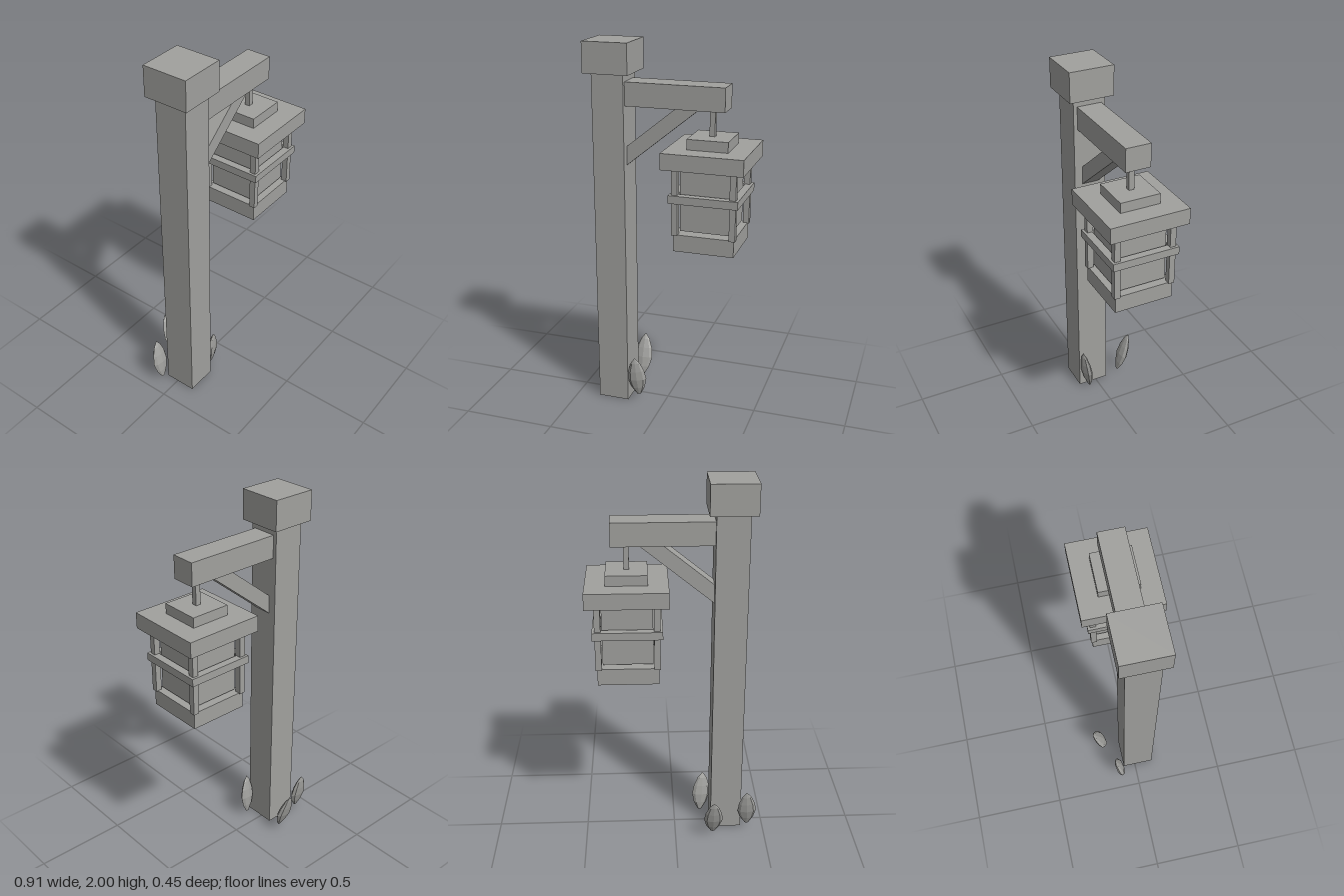
import * as THREE from 'three';

export function createModel() {
  const model = new THREE.Group();
  model.name = 'lanternPost';
  const grey = new THREE.MeshStandardMaterial({ color: 0xa0a09d });
  grey.name = 'stoneGrey';
  grey.flatShading = true;

  const Z = 0.018; // shared centre line of post, arm and lantern

  const add = (parent, name, geometry) => {
    const mesh = new THREE.Mesh(geometry, grey);
    mesh.name = name;
    parent.add(mesh);
    return mesh;
  };
  // Box from its x range, y range and z centre / depth
  const box = (parent, name, x0, x1, y0, y1, z, depth) => {
    const mesh = add(parent, name, new THREE.BoxGeometry(x1 - x0, y1 - y0, depth));
    mesh.position.set((x0 + x1) / 2, (y0 + y1) / 2, z);
    return mesh;
  };

  // Post, cap and arm
  box(model, 'post', -0.374, -0.203, 0, 1.85, Z, 0.175);
  box(model, 'postCap', -0.408, -0.167, 1.84, 2, Z, 0.242);
  box(model, 'arm', -0.22, 0.32, 1.677, 1.8, Z, 0.134);

  // Diagonal brace, its ends sunk into post and arm
  const profile = new THREE.Shape([
    new THREE.Vector2(-0.22, 1.35),
    new THREE.Vector2(0.192, 1.687),
    new THREE.Vector2(0.072, 1.687),
    new THREE.Vector2(-0.22, 1.45),
  ]);
  const brace = add(model, 'brace',
    new THREE.ExtrudeGeometry(profile, { depth: 0.09, bevelEnabled: false }));
  brace.position.z = Z - 0.045;

  // Hanging lantern, built around its own vertical axis
  const lantern = new THREE.Group();
  lantern.name = 'lantern';
  lantern.position.set(0.243, 0, Z);
  model.add(lantern);
  const block = (name, half, y0, y1) => box(lantern, name, -half, half, y0, y1, 0, half * 2);
  block('hangingRod', 0.014, 1.53, 1.685);
  block('roofCap', 0.107, 1.485, 1.542);
  block('roof', 0.212, 1.403, 1.488);
  block('lightBox', 0.131, 1.067, 1.41);
  block('lanternBase', 0.159, 0.963, 1.053);

  // Corner posts
  for (const sx of [-1, 1]) for (const sz of [-1, 1]) {
    const c = 0.151 * sx;
    box(lantern, 'cornerPost', c - 0.016, c + 0.016, 1.05, 1.41, 0.151 * sz, 0.032);
  }

  // Square band around the corner posts
  for (const s of [-1, 1]) {
    box(lantern, 'bandBar', -0.18, 0.18, 1.223, 1.265, 0.16 * s, 0.04);
    box(lantern, 'bandBar', 0.16 * s - 0.02, 0.16 * s + 0.02, 1.223, 1.265, 0, 0.28);
  }

  // Leaves: flattened, pointed lathe forms leaning outwards
  const leafProfile = [[0, 0], [0.22, 0.005], [0.72, 0.2], [1, 0.43], [0.86, 0.65], [0.5, 0.86], [0, 1]]
    .map(([r, y]) => new THREE.Vector2(r, y));
  const leafGeometry = new THREE.LatheGeometry(leafProfile, 8);
  const leaves = [
    { foot: [-0.41, 0.027, -0.077], tip: [-0.4, 0.262, -0.127], turn: 0 },
    { foot: [-0.21, 0.027, -0.147], tip: [-0.21, 0.262, -0.224], turn: 0 },
    { foot: [-0.15, 0.027, 0.068], tip: [-0.166, 0.262, 0.095], turn: 0.2 },
  ];
  for (const { foot, tip, turn } of leaves) {
    const start = new THREE.Vector3(...foot);
    const axis = new THREE.Vector3(...tip).sub(start);
    const leaf = add(model, 'leaf', leafGeometry);
    leaf.scale.set(0.052, axis.length(), 0.021);
    leaf.position.copy(start);
    leaf.quaternion.setFromUnitVectors(new THREE.Vector3(0, 1, 0), axis.normalize());
    leaf.rotateY(turn);
  }

  return model;
}
